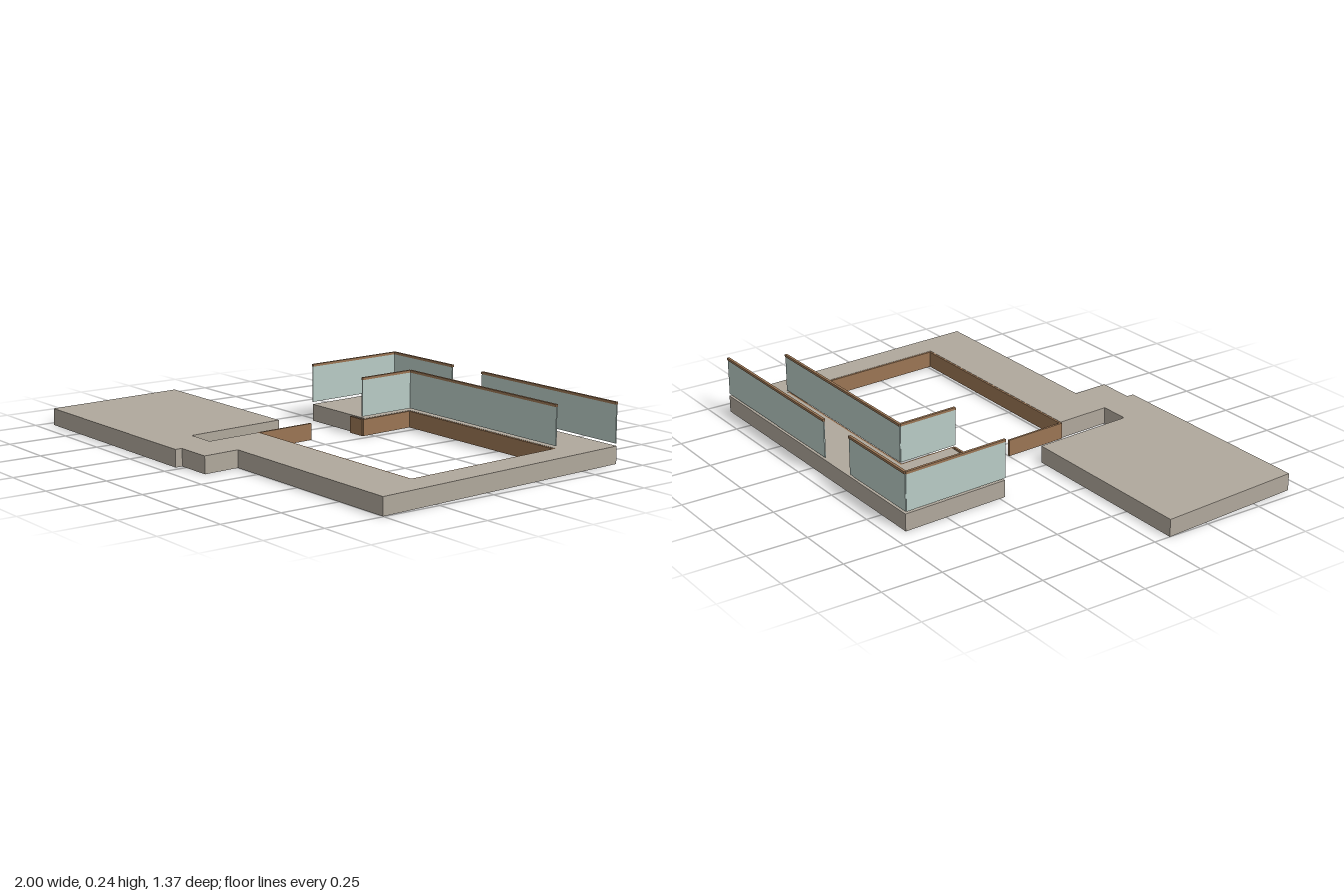
import * as THREE from 'three';

export function createModel() {
  const model = new THREE.Group();
  const mat = (name, color) => Object.assign(new THREE.MeshStandardMaterial({ color }), { name });
  const stone = mat('stone', 0xb0a89c);
  const glass = mat('paleGlass', 0xb8cbc5);
  const wood = mat('brownWood', 0x9a7554);

  // Paved slab, outlined in plan as [x, z]
  const outline = [
    [-1, 0.07], [-0.22, 0.07], [-0.19, 0.505], [-0.065, 0.505], [-0.08, 0.27],
    [0.865, 0.27], [0.82, -0.47], [-0.05, -0.47], [-0.035, -0.225], [-0.39, -0.225],
    [-0.415, -0.685], [0.925, -0.685], [0.997, 0.5], [0.12, 0.5], [0.13, 0.655],
    [-0.025, 0.655], [-0.025, 0.685], [-0.96, 0.685],
  ];
  const shape = new THREE.Shape(outline.map(([x, z]) => new THREE.Vector2(x, -z)));
  const slabGeo = new THREE.ExtrudeGeometry(shape, { depth: 0.07, bevelEnabled: false });
  slabGeo.rotateX(-Math.PI / 2);
  const slab = new THREE.Mesh(slabGeo, stone);
  slab.name = 'pavedSlab';
  model.add(slab);

  // Upright strip standing between two plan points
  function strip(name, [ax, az], [bx, bz], y0, y1, thickness, material) {
    const length = Math.hypot(bx - ax, bz - az);
    const mesh = new THREE.Mesh(new THREE.BoxGeometry(length, y1 - y0, thickness), material);
    mesh.position.set((ax + bx) / 2, (y0 + y1) / 2, (az + bz) / 2);
    mesh.rotation.y = -Math.atan2(bz - az, bx - ax);
    mesh.name = name;
    model.add(mesh);
  }

  // Glass balustrades with wooden handrails
  const balustrades = [
    [[-0.39, -0.225], [-0.415, -0.682]],
    [[-0.415, -0.682], [-0.03, -0.682]],
    [[0.155, -0.682], [0.923, -0.682]],
    [[-0.035, -0.21], [-0.048, -0.47]],
    [[-0.048, -0.47], [0.82, -0.47]],
  ];
  for (const [a, b] of balustrades) {
    strip('glassPanel', a, b, 0.08, 0.23, 0.005, glass);
    strip('handrail', a, b, 0.23, 0.24, 0.011, wood);
  }

  // Wooden fascia lining the opening, with its free ends
  const fascia = [
    [[-0.11, -0.21], [-0.03, -0.21]],
    [[-0.03, -0.21], [-0.046, -0.466]],
    [[-0.046, -0.466], [0.817, -0.466]],
    [[0.817, -0.466], [0.861, 0.266]],
    [[0.861, 0.266], [-0.083, 0.266]],
    [[-0.083, 0.27], [-0.099, 0]],
  ];
  for (const [a, b] of fascia) strip('fascia', a, b, 0.001, 0.069, 0.009, wood);

  return model;
}
